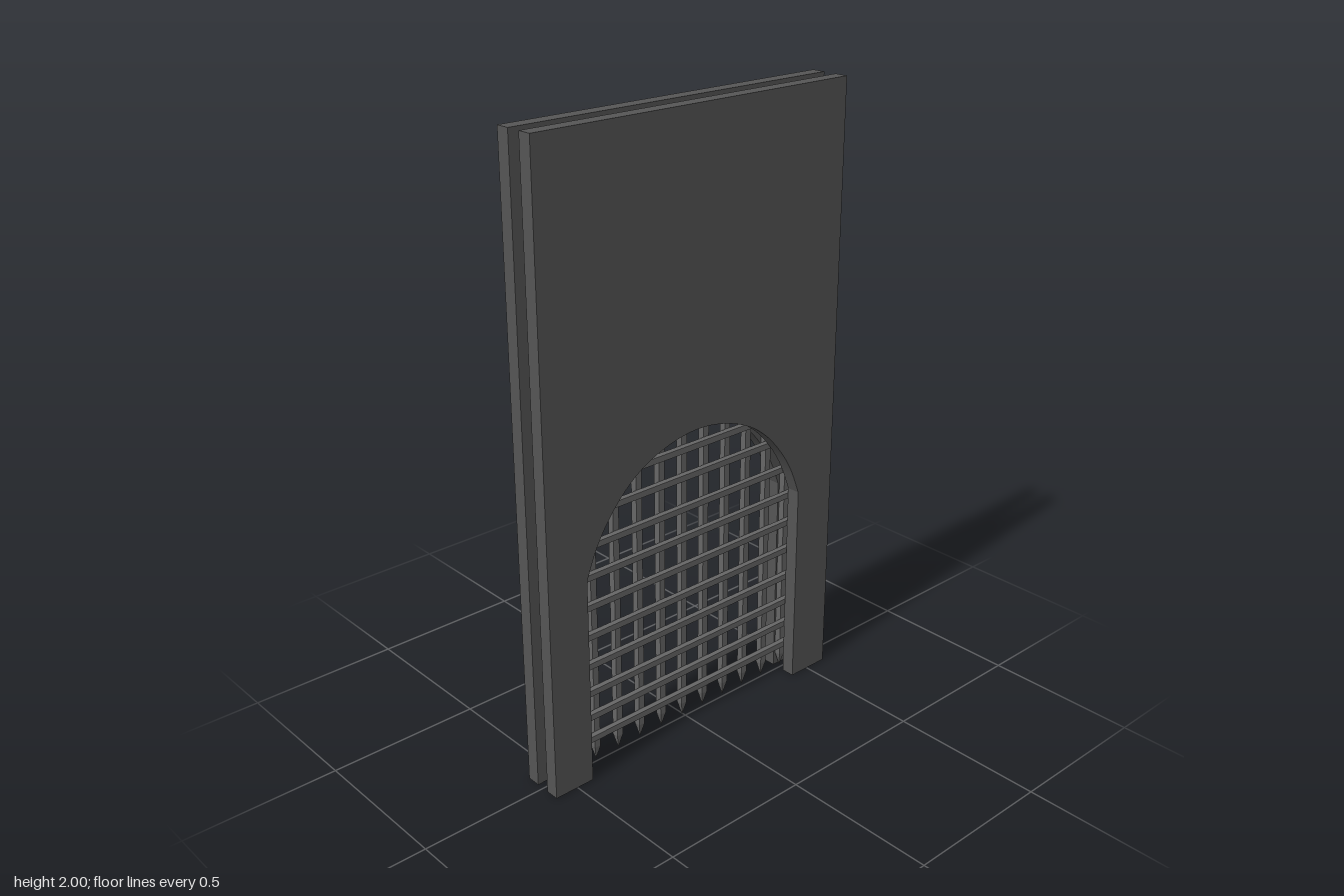
import * as THREE from 'three';

const wallMaterial = new THREE.MeshStandardMaterial({ color: 0x555555 });
const barMaterial = new THREE.MeshStandardMaterial({ color: 0x666666, flatShading: true });

const CENTRE = 0.005; // z of the opening's middle
const BAR = 0.022;

function add(parent, geometry, material, name, x, y, z) {
  const mesh = new THREE.Mesh(geometry, material);
  mesh.name = name;
  mesh.position.set(x, y, z);
  parent.add(mesh);
  return mesh;
}

// Slab outline with a round-headed doorway cut up from the ground (shape x becomes -z)
function wallGeometry(thickness) {
  const half = [[0.435, 0.69], [0.398, 0.78], [0.348, 0.86], [0.28, 0.935], [0.2, 0.99], [0.1, 1.027]];
  const arch = [
    ...half,
    [0, 1.04],
    ...half.map(([u, y]) => [-u, y]).reverse(),
  ].map(([u, y]) => new THREE.Vector2(u - CENTRE, y));

  const shape = new THREE.Shape();
  shape.moveTo(-0.58, 0);
  shape.lineTo(-0.58, 2);
  shape.lineTo(0.58, 2);
  shape.lineTo(0.58, 0);
  shape.lineTo(0.435 - CENTRE, 0);
  shape.lineTo(arch[0].x, arch[0].y);
  shape.splineThru(arch.slice(1));
  shape.lineTo(-0.435 - CENTRE, 0);
  shape.closePath();

  const geometry = new THREE.ExtrudeGeometry(shape, { depth: thickness, bevelEnabled: false, curveSegments: 24 });
  geometry.rotateY(Math.PI / 2);
  return geometry;
}

// Vertical bars ending in four-sided spikes
function buildVerticalBars() {
  const group = new THREE.Group();
  group.name = 'verticalBars';
  const top = 1.06;
  const spikeHeight = 0.05;
  const shaft = new THREE.BoxGeometry(BAR, top - spikeHeight, BAR);
  const spike = new THREE.ConeGeometry(BAR / Math.SQRT2, spikeHeight, 4, 1, true);
  spike.rotateY(Math.PI / 4);
  spike.rotateX(Math.PI);
  for (let i = -5; i <= 5; i++) {
    const z = CENTRE + i * 0.09;
    add(group, shaft, barMaterial, 'verticalBar', -0.011, (top + spikeHeight) / 2, z);
    add(group, spike, barMaterial, 'spike', -0.011, spikeHeight / 2, z);
  }
  return group;
}

// Horizontal bars fixed across the face of the vertical ones
function buildHorizontalBars() {
  const group = new THREE.Group();
  group.name = 'horizontalBars';
  const geometry = new THREE.BoxGeometry(0.018, 0.02, 0.92);
  const heights = [0.1, 0.18, 0.265, 0.36, 0.46, 0.56, 0.66, 0.76, 0.865, 0.957, 1.05];
  for (const y of heights) add(group, geometry, barMaterial, 'horizontalBar', 0.009, y, CENTRE);
  return group;
}

export function createModel() {
  const model = new THREE.Group();
  model.name = 'portcullisGate';

  // Two matching walls with a slot between them for the grille
  const wall = wallGeometry(0.045);
  add(model, wall, wallMaterial, 'rightWall', -0.069, 0, 0);
  add(model, wall, wallMaterial, 'leftWall', 0.022, 0, 0);

  const grille = new THREE.Group();
  grille.name = 'grille';
  grille.add(buildVerticalBars(), buildHorizontalBars());
  model.add(grille);
  return model;
}
